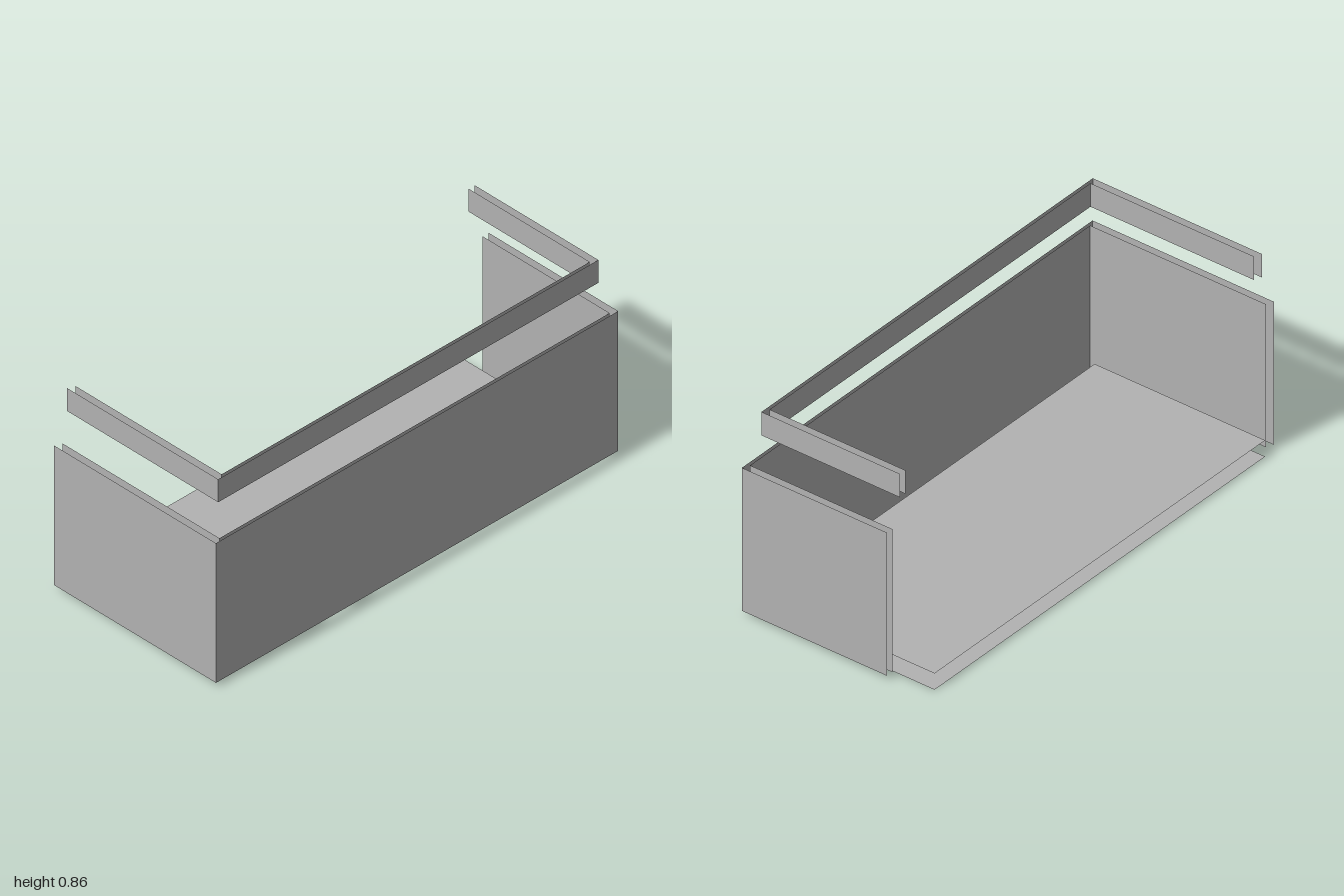
import * as THREE from 'three';

export function createModel() {
  const model = new THREE.Group();
  model.name = 'openBackCounter';

  const grey = new THREE.MeshStandardMaterial({ color: 0xb2b2b2, side: THREE.DoubleSide });
  grey.name = 'grey';

  function sheet(name, width, height, parent) {
    const mesh = new THREE.Mesh(new THREE.PlaneGeometry(width, height), grey);
    mesh.name = name;
    parent.add(mesh);
    return mesh;
  }

  // U-shaped skin: a front panel and two side panels reaching back to their own ends
  function skin(name, halfWidth, frontZ, leftEndZ, rightEndZ, y0, y1) {
    const group = new THREE.Group();
    group.name = name;
    const height = y1 - y0;
    const y = (y0 + y1) / 2;
    sheet('frontPanel', halfWidth * 2, height, group).position.set(0, y, frontZ);
    for (const [side, label, endZ] of [[1, 'leftPanel', leftEndZ], [-1, 'rightPanel', rightEndZ]]) {
      const panel = sheet(label, frontZ - endZ, height, group);
      panel.rotation.y = side * Math.PI / 2;
      panel.position.set(side * halfWidth, y, (frontZ + endZ) / 2);
    }
    model.add(group);
  }

  // Counter walls, outer and inner skins
  skin('outerWall', 1, 0.415, -0.245, -0.41, 0.018, 0.633);
  skin('innerWall', 0.97, 0.402, -0.245, -0.397, 0.018, 0.633);

  // Raised rail, outer and inner skins
  skin('outerRail', 0.945, 0.37, -0.26, -0.4, 0.762, 0.863);
  skin('innerRail', 0.915, 0.357, -0.26, -0.387, 0.762, 0.863);

  // Two floor sheets
  for (const [name, y] of [['lowerFloor', 0], ['upperFloor', 0.07]]) {
    const floor = sheet(name, 1.886, 0.775, model);
    floor.rotation.x = -Math.PI / 2;
    floor.position.set(0, y, -0.0275);
  }

  return model;
}
